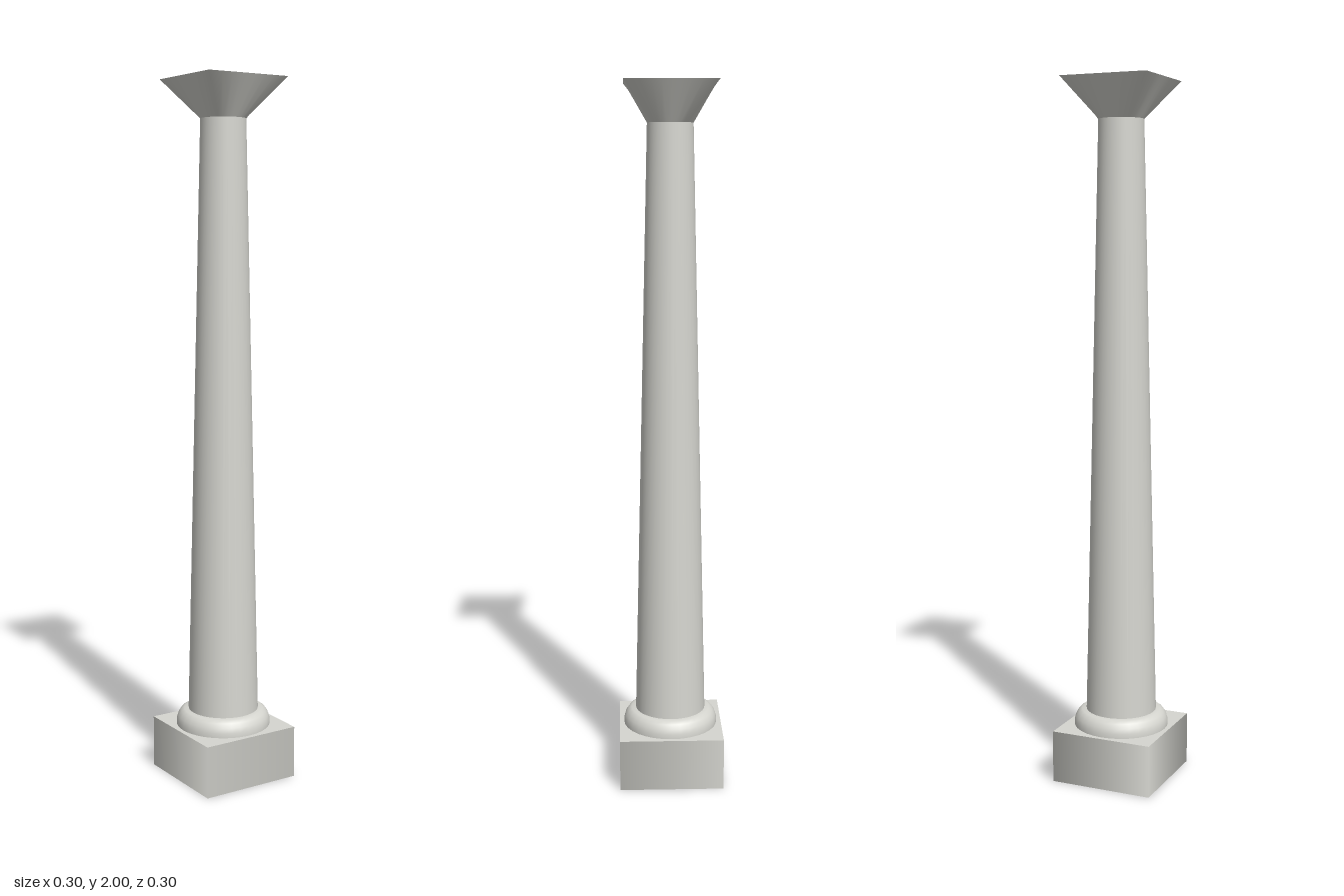
import * as THREE from 'three';

const stone = new THREE.MeshStandardMaterial({ color: 0xd6d6d0, side: THREE.DoubleSide });
stone.name = 'paleStone';

const SIDES = 32;

// Skin through horizontal rings; each ring is [radius or half width, height, isSquare]
function loft(rings) {
  const positions = [], index = [];
  rings.forEach(([r, y, square], k) => {
    for (let i = 0; i < SIDES; i++) {
      const a = (i / SIDES) * Math.PI * 2;
      const c = Math.cos(a), s = Math.sin(a);
      const d = square ? r / Math.max(Math.abs(c), Math.abs(s)) : r;
      positions.push(c * d, y, s * d);
      if (k === 0) continue;
      const j = (i + 1) % SIDES, lo = (k - 1) * SIDES, hi = k * SIDES;
      index.push(lo + i, hi + i, lo + j, lo + j, hi + i, hi + j);
    }
  });
  const g = new THREE.BufferGeometry();
  g.setAttribute('position', new THREE.Float32BufferAttribute(positions, 3));
  g.setIndex(index);
  g.computeVertexNormals();
  return g;
}

export function createModel() {
  const group = new THREE.Group();
  group.name = 'column';
  const add = (name, geometry, y = 0) => {
    const mesh = new THREE.Mesh(geometry, stone);
    mesh.name = name;
    mesh.position.y = y;
    group.add(mesh);
  };

  // Square plinth, open underneath, with softened corner shading
  const corner = 0.15 * Math.SQRT2;
  add('plinthSides', new THREE.CylinderGeometry(corner, corner, 0.15, 4, 1, true, Math.PI / 4), 0.075);
  add('plinthTop', loft([[0.15, 0.15, true], [0.137, 0.15, false]]));

  // Rounded moulding between plinth and shaft
  const profile = [[0.137, 0.15], [0.137, 0.163], [0.133, 0.177], [0.125, 0.189], [0.115, 0.196], [0.1, 0.197]];
  add('baseMoulding', loft(profile));

  // Tapering shaft
  add('shaft', new THREE.CylinderGeometry(0.064, 0.102, 1.695, SIDES), 1.0425);

  // Hollow capital flaring from a circle to a square, open at the top
  add('capital', loft([[0.064, 1.89, false], [0.128, 2, true]]));

  return group;
}
